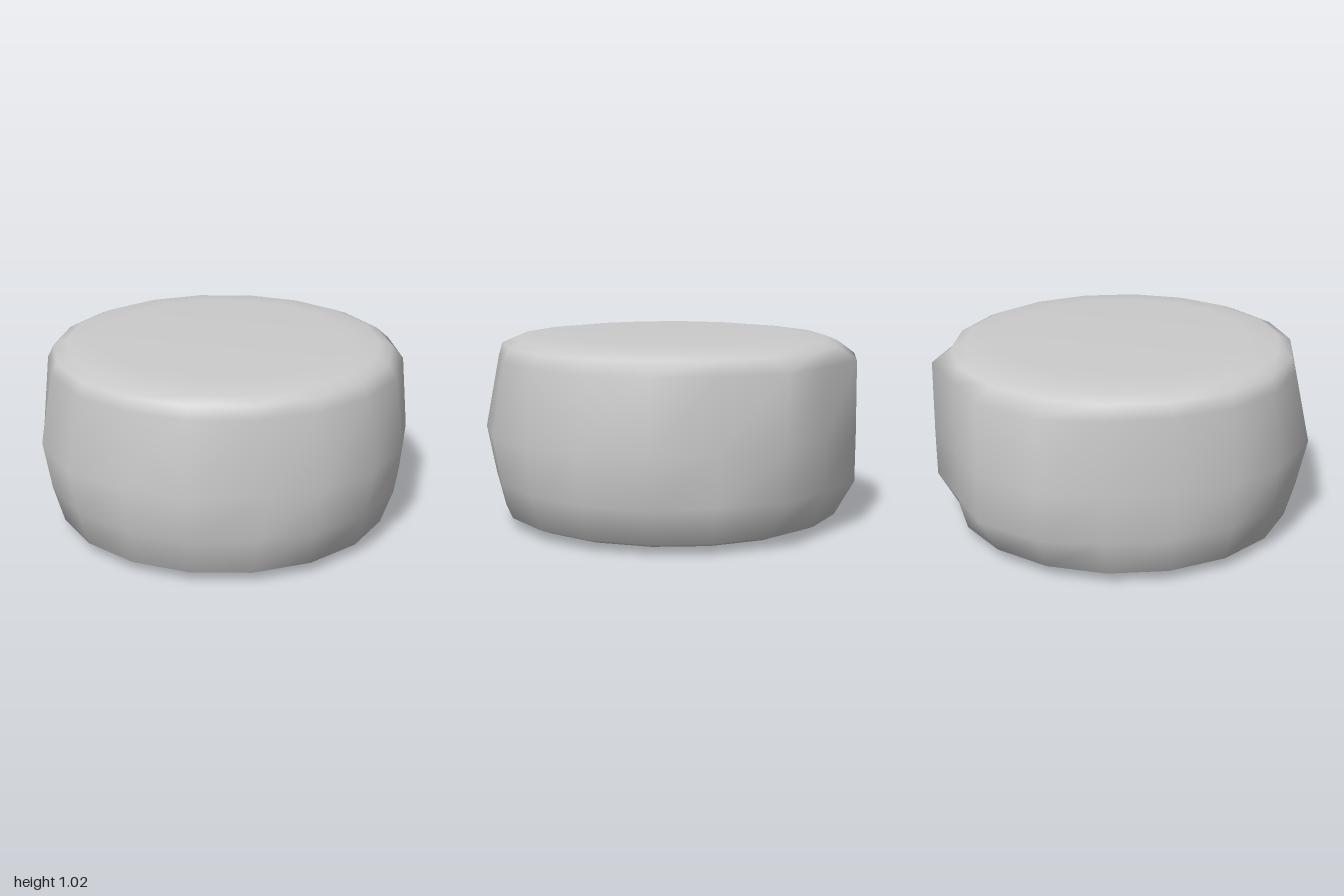
import * as THREE from 'three';

// Widest outline (x, z), one point per column, from the front towards +x
const BELLY = [
  [-0.02, 1], [0.38, 0.86], [0.64, 0.75], [0.87, 0.48], [0.99, 0.14], [0.99, -0.2],
  [0.87, -0.55], [0.6, -0.77], [0.33, -1], [-0.03, -1], [-0.36, -1], [-0.69, -0.81],
  [-0.86, -0.52], [-0.97, -0.2], [-1, 0.14], [-0.92, 0.43], [-0.68, 0.76], [-0.36, 0.9],
];
const COLS = BELLY.length;

// Rings from bottom to top: height, rim radius, share of the belly outline.
const RINGS = [
  { y: 0, r: 0 }, { y: 0, r: 0.62 }, { y: 0.03, r: 0.845 }, { y: 0.06, r: 0.92 },
  { y: 0.25, r: 0.92, belly: 0.42 }, { y: 0.51, r: 0.92, belly: 1 },
  { y: 0.9, r: 0.92, belly: 0.15 }, { y: 0.97, r: 0.925 },
  { y: 1.0, r: 0.855 }, { y: 1.02, r: 0.68 }, { y: 1.02, r: 0 },
];

function createStone() {
  const positions = [];
  const index = [];
  for (const { y, r, belly = 0 } of RINGS) {
    for (let i = 0; i < COLS; i++) {
      const a = (i / COLS) * Math.PI * 2;
      // The wall is pointed at the front and grows straighter towards the back
      const share = belly ? belly + (1 - belly) * (1 - Math.cos(a)) / 2 : 0;
      const x = Math.sin(a) * r - 0.015;
      const z = Math.cos(a) * r - 0.03;
      positions.push(
        THREE.MathUtils.lerp(x, BELLY[i][0], share), y,
        THREE.MathUtils.lerp(z, BELLY[i][1], share),
      );
    }
  }
  // Skin the rings, with every diagonal leaning the same way
  for (let j = 0; j < RINGS.length - 1; j++) {
    for (let i = 0; i < COLS; i++) {
      const n = (i + 1) % COLS;
      const a = j * COLS + i, b = j * COLS + n;
      const c = a + COLS, d = b + COLS;
      index.push(a, b, d, a, d, c);
    }
  }
  const geometry = new THREE.BufferGeometry();
  geometry.setAttribute('position', new THREE.Float32BufferAttribute(positions, 3));
  geometry.setIndex(index);
  geometry.computeVertexNormals();
  return geometry;
}

export function createModel() {
  const group = new THREE.Group();
  group.name = 'roundStone';
  const stone = new THREE.Mesh(createStone(), new THREE.MeshStandardMaterial({ color: 0xcccccc }));
  stone.name = 'stoneBody';
  group.add(stone);
  return group;
}
